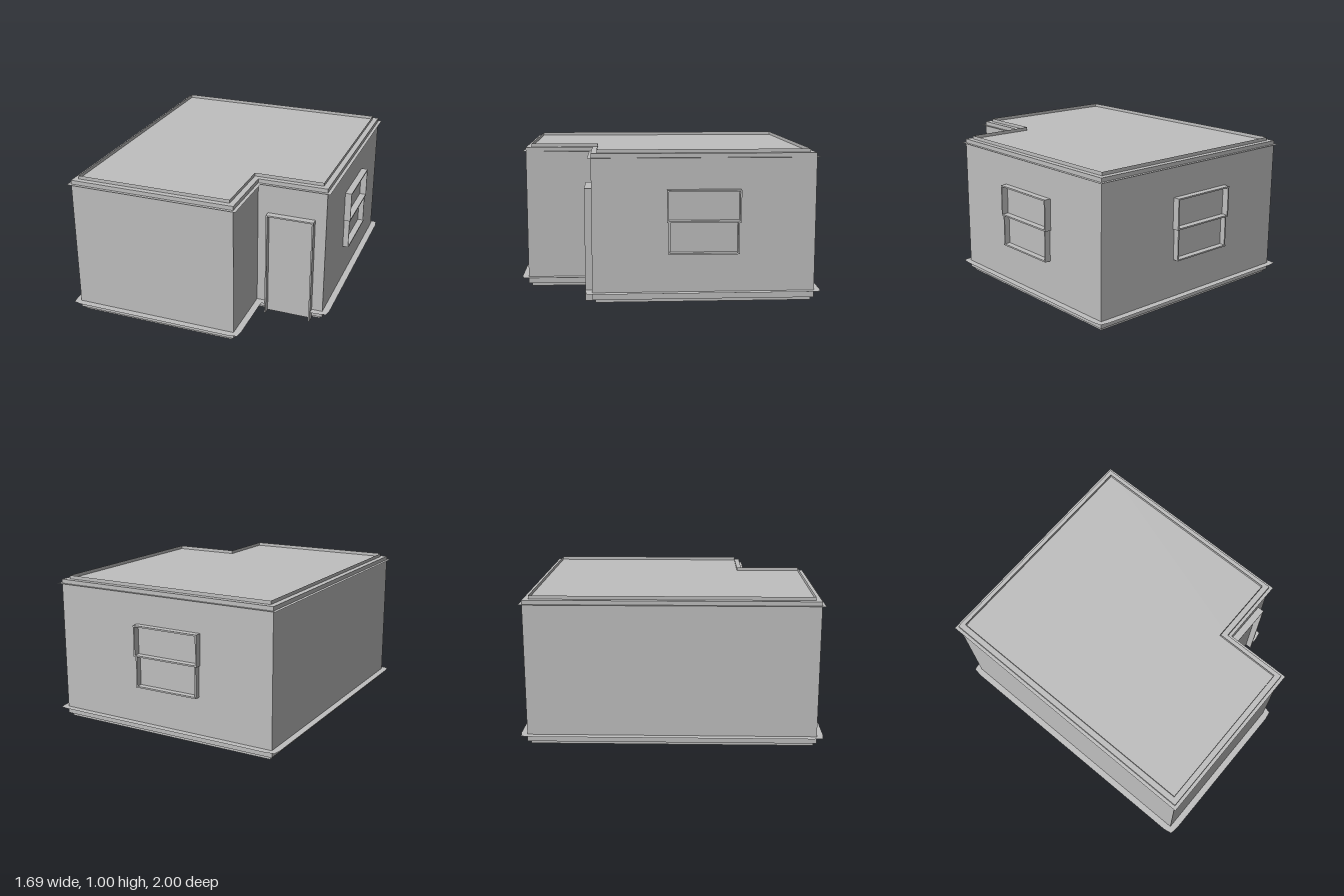
import * as THREE from 'three';

const plaster = new THREE.MeshStandardMaterial({ color: 0xbfbfbf, side: THREE.DoubleSide, flatShading: true });
plaster.name = 'plaster grey';

// L-shaped footprint as [x, z] corners, grown outward by o
const footprint = (o) => [
  [-0.8 - o, -0.955 - o], [0.8 + o, -0.955 - o], [0.8 + o, 0.5 + o],
  [0.33 + o, 0.5 + o], [0.33 + o, 0.955 + o], [-0.8 - o, 0.955 + o],
];

function addMesh(group, name, geometry) {
  const mesh = new THREE.Mesh(geometry, plaster);
  mesh.name = name;
  group.add(mesh);
  return mesh;
}

// Vertical band of flat sheets following the footprint
function band(o, y0, y1) {
  const pts = footprint(o);
  const pos = [];
  pts.forEach(([ax, az], i) => {
    const [bx, bz] = pts[(i + 1) % pts.length];
    pos.push(ax, y0, az, ax, y1, az, bx, y1, bz);
    pos.push(ax, y0, az, bx, y1, bz, bx, y0, bz);
  });
  const g = new THREE.BufferGeometry();
  g.setAttribute('position', new THREE.Float32BufferAttribute(pos, 3));
  g.computeVertexNormals();
  return g;
}

// Horizontal sheet with an optional hole
function sheet(outline, y, hole) {
  const toV = ([x, z]) => new THREE.Vector2(x, -z);
  const shape = new THREE.Shape(outline.map(toV));
  if (hole) shape.holes.push(new THREE.Path(hole.map(toV)));
  return new THREE.ShapeGeometry(shape).rotateX(-Math.PI / 2).translate(0, y, 0);
}

// Thin board from x0..x1 and y0..y1, standing out from z = 0 by depth
function board(group, name, x0, x1, y0, y1, depth) {
  const g = new THREE.BoxGeometry(x1 - x0, y1 - y0, depth);
  addMesh(group, name, g.translate((x0 + x1) / 2, (y0 + y1) / 2, depth / 2));
}

// Two-sash window frame projecting from the wall
function makeWindow(name) {
  const w = new THREE.Group();
  w.name = name;
  const t = 0.01;
  for (const s of [-1, 1]) {
    const jamb = (half, y0, y1, d, label) =>
      board(w, label, s > 0 ? half - t : -half, s > 0 ? half : -half + t, y0, y1, d);
    jamb(0.24, 0.535, 0.745, 0.045, 'upperJamb');
    jamb(0.23, 0.325, 0.535, 0.038, 'lowerJamb');
  }
  board(w, 'windowHead', -0.24, 0.24, 0.735, 0.745, 0.045);
  board(w, 'meetingRail', -0.24, 0.24, 0.535, 0.545, 0.045);
  board(w, 'windowSill', -0.23, 0.23, 0.325, 0.335, 0.042);
  return w;
}

export function createModel() {
  const house = new THREE.Group();
  house.name = 'house';

  // Body: walls, roof deck and floor
  addMesh(house, 'walls', band(0, 0.022, 0.977));
  addMesh(house, 'roof', sheet(footprint(0), 0.977));
  addMesh(house, 'floor', sheet(footprint(0), 0.022));

  // Upright lip around the roof and recessed foot below the walls
  addMesh(house, 'roofLip', band(-0.037, 0.977, 1));
  addMesh(house, 'foot', band(-0.02, 0, 0.022));

  // Thin ledge under the roof
  addMesh(house, 'upperLedge', sheet(footprint(0.022), 0.95, footprint(-0.001)));

  // Wider ledge near the ground, slightly trimmed corners, broken at the doorway
  const tip = footprint(0.035), rim = footprint(0.045);
  const lower = [];
  rim.forEach(([x, z], i) => {
    const step = ([px, pz]) => [x + Math.sign(px - x) * 0.07, z + Math.sign(pz - z) * 0.07];
    if (i === 3) {
      lower.push([0.725, z], [0.725, 0.502], [0.4, 0.502], [0.4, z], [x, z]);
    } else {
      lower.push(step(rim[(i + 5) % 6]), tip[i], step(rim[(i + 1) % 6]));
    }
  });
  addMesh(house, 'lowerLedge', sheet(lower, 0.07, footprint(-0.001)));

  // Door frame and panel in the corner recess
  const door = new THREE.Group();
  door.name = 'door';
  door.position.z = 0.5;
  board(door, 'doorPanel', 0.41, 0.715, 0.002, 0.735, 0.004);
  board(door, 'doorJambRight', 0.4, 0.41, 0, 0.745, 0.047);
  board(door, 'doorJambLeft', 0.715, 0.725, 0, 0.745, 0.047);
  board(door, 'doorHead', 0.4, 0.725, 0.735, 0.745, 0.047);
  house.add(door);

  // Side and back windows
  const sideWindow = makeWindow('sideWindow');
  sideWindow.rotation.y = Math.PI / 2;
  sideWindow.position.set(0.8, 0, -0.225);
  const backWindow = makeWindow('backWindow');
  backWindow.rotation.y = Math.PI;
  backWindow.position.set(-0.05, 0, -0.955);
  house.add(sideWindow, backWindow);

  return house;
}
